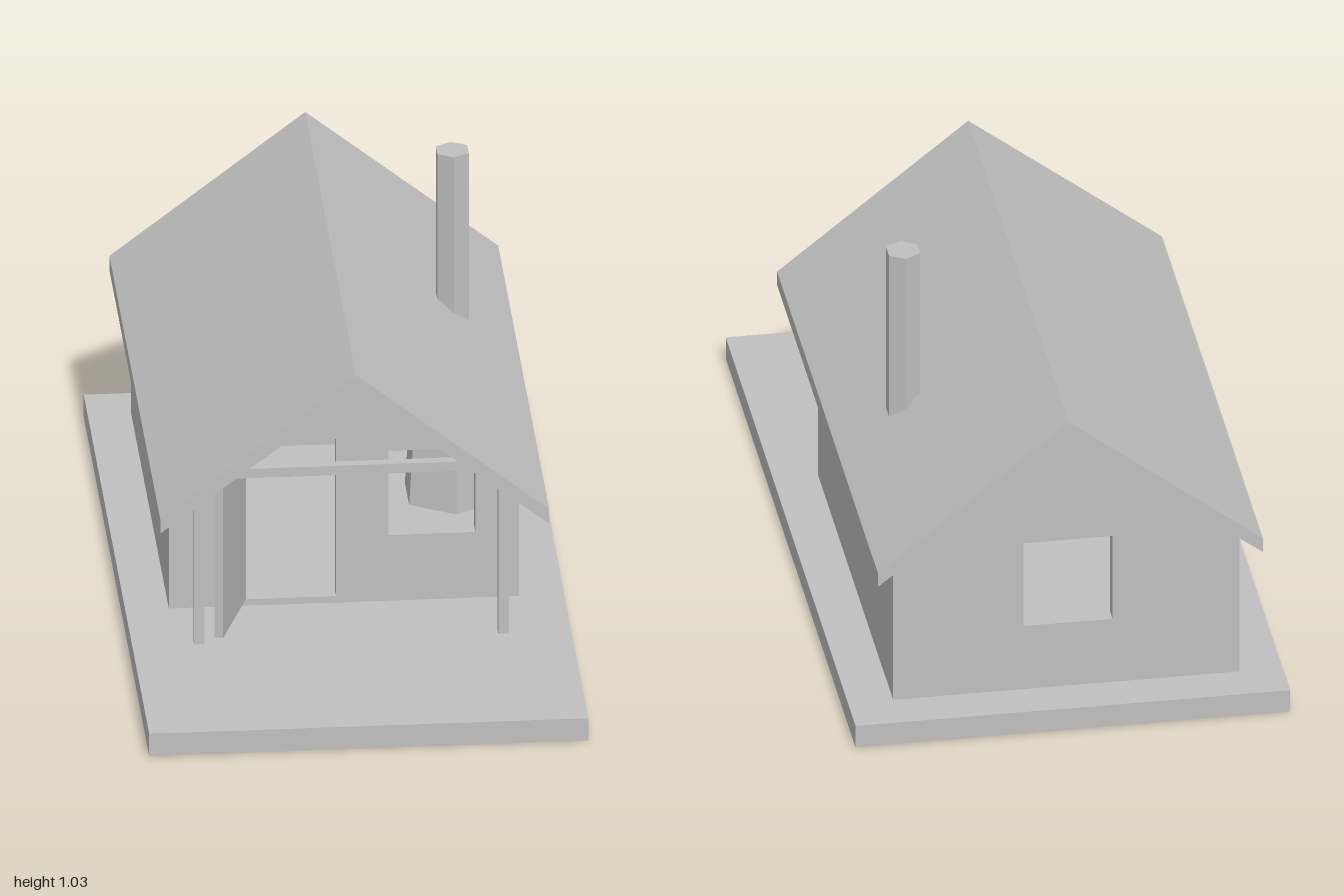
import * as THREE from 'three';

export function createModel() {
  const house = new THREE.Group();
  house.name = 'cabin';
  const grey = new THREE.MeshStandardMaterial({ color: 0xc0c0c0 });
  grey.name = 'plain grey';

  const add = (name, geometry, parent = house) => {
    const mesh = new THREE.Mesh(geometry, grey);
    mesh.name = name;
    parent.add(mesh);
    return mesh;
  };
  // Box given by its lower and upper limits on each axis
  const box = (name, x0, x1, y0, y1, z0, z1, parent) => {
    const g = new THREE.BoxGeometry(x1 - x0, y1 - y0, z1 - z0);
    g.translate((x0 + x1) / 2, (y0 + y1) / 2, (z0 + z1) / 2);
    return add(name, g, parent);
  };
  const outline = (points) => points.map(([x, y]) => new THREE.Vector2(x, y));
  // Outline in x and y, pushed from z0 to z1, with rectangular openings
  const slab = (name, points, z0, z1, openings = []) => {
    const shape = new THREE.Shape(outline(points));
    for (const [x0, x1, y0, y1] of openings) {
      shape.holes.push(new THREE.Path(outline([[x0, y0], [x0, y1], [x1, y1], [x1, y0]])));
    }
    const g = new THREE.ExtrudeGeometry(shape, { depth: z1 - z0, bevelEnabled: false });
    g.translate(0, 0, z0);
    return add(name, g);
  };
  // Six-sided turned part with flat faces
  const hexLathe = (name, points, x, z) => {
    const g = new THREE.LatheGeometry(outline(points), 6).toNonIndexed();
    g.computeVertexNormals();
    g.translate(x, 0, z);
    return add(name, g);
  };

  // Ground slab and inner floor
  box('groundSlab', -0.555, 0.555, 0, 0.062, -1, 1);
  box('floor', -0.41, 0.41, 0.06, 0.08, -0.85, 0.24);

  // Gable walls with door and window openings
  const gable = [[-0.445, 0.06], [0.44, 0.06], [0.44, 0.463], [0, 0.812], [-0.445, 0.473]];
  slab('frontWall', gable, 0.23, 0.27, [
    [-0.25, -0.022, 0.08, 0.518],
    [0.11, 0.33, 0.245, 0.48],
  ]);
  slab('backWall', gable, -0.885, -0.845, [[-0.12, 0.107, 0.245, 0.485]]);

  // Side walls
  box('rightWall', -0.445, -0.405, 0.06, 0.473, -0.845, 0.23);
  box('leftWall', 0.4, 0.44, 0.06, 0.463, -0.845, 0.23);

  // Roof over house and porch
  slab('roof', [
    [-0.495, 0.435], [0, 0.81], [0.488, 0.425],
    [0.488, 0.465], [0, 0.857], [-0.495, 0.475],
  ], -0.94, 0.613);

  // Porch posts and cross beam
  box('rightPost', -0.4, -0.373, 0.06, 0.522, 0.46, 0.486);
  box('leftPost', 0.37, 0.397, 0.06, 0.522, 0.46, 0.486);
  box('porchBeam', -0.392, 0.385, 0.52, 0.546, 0.46, 0.486);

  // Open door, hinged on its right jamb
  const door = new THREE.Group();
  door.name = 'door';
  door.position.set(-0.25, 0, 0.27);
  door.rotation.y = -0.33;
  box('doorLeaf', -0.022, 0, 0.08, 0.511, 0, 0.235, door);
  house.add(door);

  // Stove inside and chimney through the roof
  hexLathe('stove', [
    [0, 0.07], [0.133, 0.07], [0.12, 0.245], [0.092, 0.43], [0.046, 0.5], [0, 0.5],
  ], 0.32, -0.315);
  hexLathe('chimney', [[0, 0.49], [0.046, 0.49], [0.046, 1.035], [0, 1.035]], 0.32, -0.315);

  // Bench along the back wall and a small stool
  box('benchSeat', -0.4, 0.12, 0.14, 0.162, -0.84, -0.6);
  box('benchFront', -0.4, 0.12, 0.07, 0.14, -0.64, -0.62);
  hexLathe('stool', [[0, 0.07], [0.025, 0.07], [0.035, 0.18], [0, 0.18]], -0.33, 0.1);

  return house;
}
